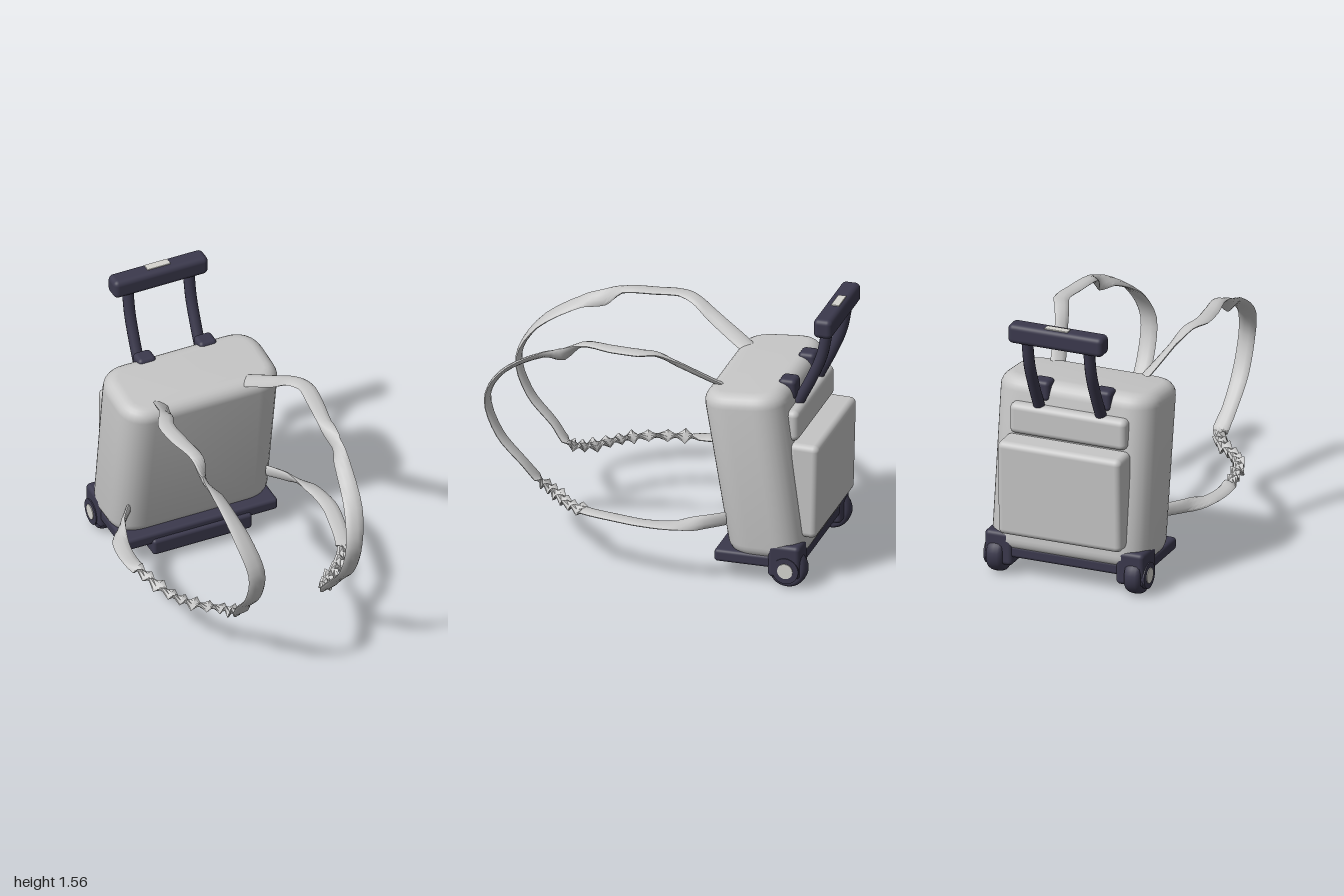
import * as THREE from 'three';
import { toCreasedNormals } from 'three/addons/utils/BufferGeometryUtils.js';
import { RoundedBoxGeometry } from 'three/addons/geometries/RoundedBoxGeometry.js';

const material = (name, color) => Object.assign(new THREE.MeshStandardMaterial({ color }), { name });

export function createModel() {
  const group = new THREE.Group();
  const fabric = material('light grey fabric', 0xc6c6c6);
  const plastic = material('dark plastic', 0x3b394d);
  const trim = material('pale trim', 0xd6d5d0);

  const add = (name, geometry, mat, x = 0, y = 0, z = 0) => {
    const mesh = new THREE.Mesh(geometry, mat);
    mesh.name = name;
    mesh.position.set(x, y, z);
    group.add(mesh);
    return mesh;
  };
  // Rounded box given by its limits on each axis
  const box = (name, mat, [x0, x1], [y0, y1], [z0, z1], r) =>
    add(name, new RoundedBoxGeometry(x1 - x0, y1 - y0, z1 - z0, 4, r), mat,
      (x0 + x1) / 2, (y0 + y1) / 2, (z0 + z1) / 2);

  // Bag body: rounded plan extruded upwards, then leaned and tapered
  function bodyGeometry() {
    const bevel = 0.075, w = 0.475 - bevel, d = 0.232 - bevel, r = 0.09;
    const plan = new THREE.Shape();
    plan.moveTo(-w + r, -d);
    plan.lineTo(w - r, -d);
    plan.quadraticCurveTo(w, -d, w, -d + r);
    plan.lineTo(w, d - r);
    plan.quadraticCurveTo(w, d, w - r, d);
    plan.lineTo(-w + r, d);
    plan.quadraticCurveTo(-w, d, -w, d - r);
    plan.lineTo(-w, -d + r);
    plan.quadraticCurveTo(-w, -d, -w + r, -d);
    const y0 = 0.15, h = 0.965;
    const geo = new THREE.ExtrudeGeometry(plan, {
      depth: h - 2 * bevel, bevelThickness: bevel, bevelSize: bevel, bevelSegments: 6, curveSegments: 8,
    });
    geo.rotateX(-Math.PI / 2).translate(0, bevel, 0);
    const p = geo.attributes.position;
    for (let i = 0; i < p.count; i++) {
      const t = p.getY(i) / h, z = p.getZ(i);
      p.setY(i, y0 + p.getY(i) - 0.09 * z * t);
      p.setZ(i, -0.66 + 0.145 * t + z * (0.96 + 0.06 * t));
    }
    return toCreasedNormals(geo, 0.8);
  }
  add('bagBody', bodyGeometry(), fabric);

  // Back pockets
  box('largePocket', fabric, [-0.37, 0.37], [0.27, 0.825], [-0.94, -0.77], 0.035).rotation.x = -0.025;
  box('upperPocket', fabric, [-0.35, 0.35], [0.83, 1.01], [-0.825, -0.68], 0.035);

  // Base plate and front foot
  box('basePlate', plastic, [-0.465, 0.465], [0.11, 0.182], [-0.86, -0.375], 0.02);
  box('frontFoot', plastic, [-0.3, 0.3], [0.045, 0.145], [-0.49, -0.355], 0.02);

  // Pull handle
  box('handleGrip', plastic, [-0.285, 0.285], [1.44, 1.553], [-0.996, -0.888], 0.03);
  box('handleButton', trim, [-0.07, 0.07], [1.55, 1.558], [-0.975, -0.928], 0.003);

  const pole = new THREE.CatmullRomCurve3([
    [0.98, -0.765], [1.06, -0.805], [1.15, -0.85], [1.3, -0.912], [1.47, -0.945],
  ].map(([y, z]) => new THREE.Vector3(0, y, z)));

  // Wheel profile: rounded tyre
  const tyre = [[0, -0.048], [0.085, -0.048], [0.1, -0.042], [0.108, -0.025], [0.11, 0],
    [0.108, 0.025], [0.1, 0.042], [0.085, 0.048], [0, 0.048]].map(([x, y]) => new THREE.Vector2(x, y));

  // Strap path rows: x, y, z, twist, half width
  const path = [
    [0.24, 1.06, -0.4, 0.5, 0.045], [0.28, 1.12, -0.29, 0.6, 0.045],
    [0.335, 1.21, -0.13, 0.7, 0.04], [0.38, 1.275, -0.02, 0.3, 0.04],
    [0.42, 1.287, 0.07, 0, 0.045], [0.41, 1.285, 0.22, 0, 0.045],
    [0.385, 1.28, 0.4, 0.1, 0.038], [0.4, 1.21, 0.52, 1.2, 0.045],
    [0.375, 1.18, 0.64, 0.5, 0.045], [0.335, 1.03, 0.88, 0.15, 0.052],
    [0.295, 0.85, 0.975, 0, 0.05], [0.285, 0.64, 0.91, 0, 0.05],
    [0.28, 0.48, 0.77, 0, 0.045], [0.265, 0.37, 0.675, 0, 0.05],
    [0.32, 0.345, 0.58, 0, 0.045], [0.44, 0.34, 0.47, 0, 0.045],
    [0.52, 0.345, 0.35, 0, 0.042], [0.575, 0.35, 0.15, 0, 0.045],
    [0.6, 0.35, -0.02, 0, 0.045], [0.575, 0.35, -0.2, 0.2, 0.045],
    [0.5, 0.355, -0.33, 1.3, 0.038], [0.42, 0.355, -0.43, 1.5, 0.038],
  ];

  // Flat ribbon swept along the path; crumpled between crumpleEnd and the lower front
  function strapGeometry(side, crumpleEnd) {
    const curve = new THREE.CatmullRomCurve3(path.map(([x, y, z]) => new THREE.Vector3(side * x, y, z)));
    const steps = (path.length - 1) * 4, sides = 10;
    const positions = [], index = [];
    for (let i = 0; i <= steps; i++) {
      const u = i / steps, k = Math.min(Math.floor(u * (path.length - 1)), path.length - 2);
      const f = u * (path.length - 1) - k;
      let twist = THREE.MathUtils.lerp(path[k][3], path[k + 1][3], f) * side;
      let width = THREE.MathUtils.lerp(path[k][4], path[k + 1][4], f);
      const c = curve.getPoint(u), t = curve.getTangent(u);
      if (k >= 13 && c.z > crumpleEnd) {
        twist += i % 2 ? 0.8 : -0.5;
        width *= i % 3 ? 0.85 : 1.05;
      }
      const s = new THREE.Vector3(1, 0, 0).addScaledVector(t, -t.x).normalize().applyAxisAngle(t, twist);
      const n = t.clone().cross(s);
      for (let j = 0; j < sides; j++) {
        const a = (j / sides) * Math.PI * 2;
        const p = c.clone().addScaledVector(s, Math.cos(a) * width).addScaledVector(n, Math.sin(a) * 0.014);
        positions.push(p.x, p.y, p.z);
        if (i === steps) continue;
        const q = i * sides + j, r = i * sides + (j + 1) % sides;
        index.push(q, r, q + sides, r, r + sides, q + sides);
      }
    }
    const geo = new THREE.BufferGeometry();
    geo.setAttribute('position', new THREE.Float32BufferAttribute(positions, 3));
    geo.setIndex(index);
    return toCreasedNormals(geo, 0.75);
  }

  for (const side of [1, -1]) {
    const label = side > 0 ? 'left' : 'right';
    const span = (a, b) => (side > 0 ? [a, b] : [-b, -a]);

    // Handle pole and its socket on the bag
    add(label + 'HandlePole', new THREE.TubeGeometry(pole, 24, 0.032, 14), plastic, side * 0.185);
    box(label + 'PoleSocket', plastic, span(0.13, 0.238), [1.03, 1.148], [-0.775, -0.675], 0.025);

    // Wheel housing, wheel and hub
    box(label + 'WheelHousing', plastic, span(0.31, 0.476), [0.06, 0.255], [-0.87, -0.685], 0.025);
    const wheel = add(label + 'Wheel', new THREE.LatheGeometry(tyre, 32), plastic, side * 0.413, 0.11, -0.79);
    const boss = add(label + 'WheelBoss', new THREE.CylinderGeometry(0.075, 0.075, 0.04, 28), plastic, side * 0.462, 0.11, -0.79);
    const hub = add(label + 'WheelHub', new THREE.CylinderGeometry(0.044, 0.044, 0.009, 24), trim, side * 0.482, 0.11, -0.79);
    for (const part of [wheel, boss, hub]) part.rotation.z = Math.PI / 2;

    // Shoulder strap
    add(label + 'ShoulderStrap', strapGeometry(side, side > 0 ? 0.38 : 0.05), fabric);
  }
  return group;
}
